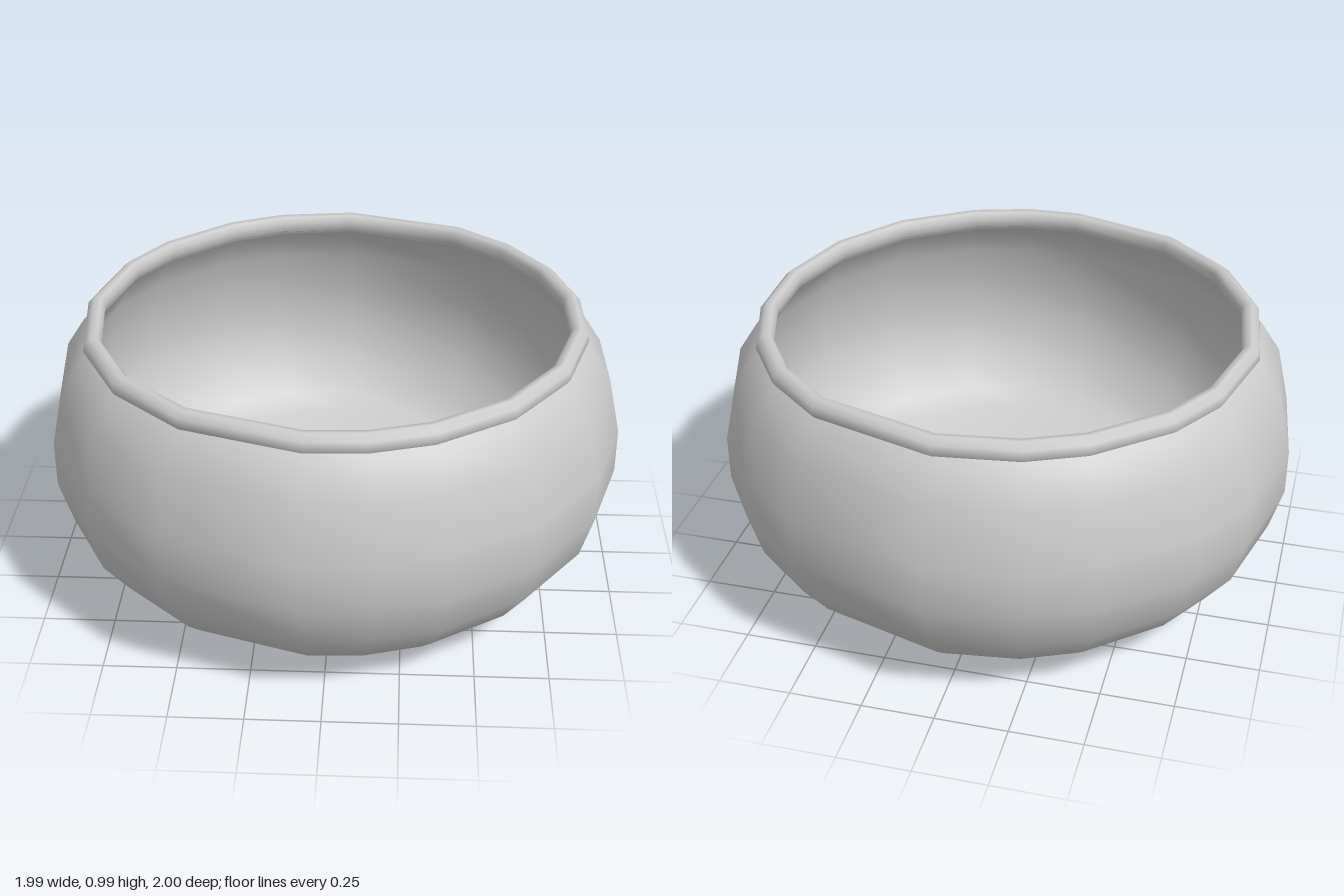
import * as THREE from 'three';

// Uneven angles (degrees) of the hand-faceted sides, from +z towards +x
const ANGLES = [-4, 9.3, 23.5, 43.4, 63.4, 82.6, 100.3, 116.6, 132.6, 148.8,
  178.3, 196.8, 210.7, 230.7, 245.2, 266.6, 287.9, 307.8, 328.4, 356];

// Lathe a profile of [radius, height] pairs, then turn each column to its uneven angle
function unevenLathe(profile) {
  const points = profile.map(([r, y]) => new THREE.Vector2(r, y));
  const sides = ANGLES.length - 1;
  const geometry = new THREE.LatheGeometry(points, sides);
  const { position, normal } = geometry.attributes;
  const axis = new THREE.Vector3(0, 1, 0);
  const v = new THREE.Vector3();
  for (let i = 0; i < position.count; i++) {
    const column = Math.floor(i / points.length);
    const turn = THREE.MathUtils.degToRad(ANGLES[column] - (column * 360) / sides);
    for (const attribute of [position, normal]) {
      v.fromBufferAttribute(attribute, i).applyAxisAngle(axis, turn);
      attribute.setXYZ(i, v.x, v.y, v.z);
    }
  }
  return geometry;
}

export function createModel() {
  const group = new THREE.Group();
  group.name = 'bowl';
  const material = new THREE.MeshStandardMaterial({ color: 0xcccccc, side: THREE.DoubleSide });

  const addPart = (name, profile) => {
    const mesh = new THREE.Mesh(unevenLathe(profile), material);
    mesh.name = name;
    group.add(mesh);
  };

  // Rounded outside wall with a shallow base
  addPart('outerWall', [
    [0, 0], [0.2, 0.006], [0.56, 0.035], [0.8, 0.107], [0.865, 0.165], [0.955, 0.285],
    [1, 0.44], [1, 0.6], [0.955, 0.8], [0.89, 0.9], [0.855, 0.935],
  ]);

  // Rolled lip around the opening
  addPart('rim', [
    [0.855, 0.915], [0.872, 0.94], [0.868, 0.968], [0.845, 0.988],
    [0.822, 0.985], [0.808, 0.965], [0.812, 0.935], [0.825, 0.915],
  ]);

  // Inside wall and floor, running down from the lip
  addPart('innerWall', [
    [0.815, 0.93], [0.855, 0.88], [0.915, 0.78], [0.955, 0.6], [0.955, 0.45],
    [0.91, 0.31], [0.83, 0.2], [0.76, 0.15], [0.54, 0.08], [0.2, 0.05], [0, 0.045],
  ]);

  return group;
}
